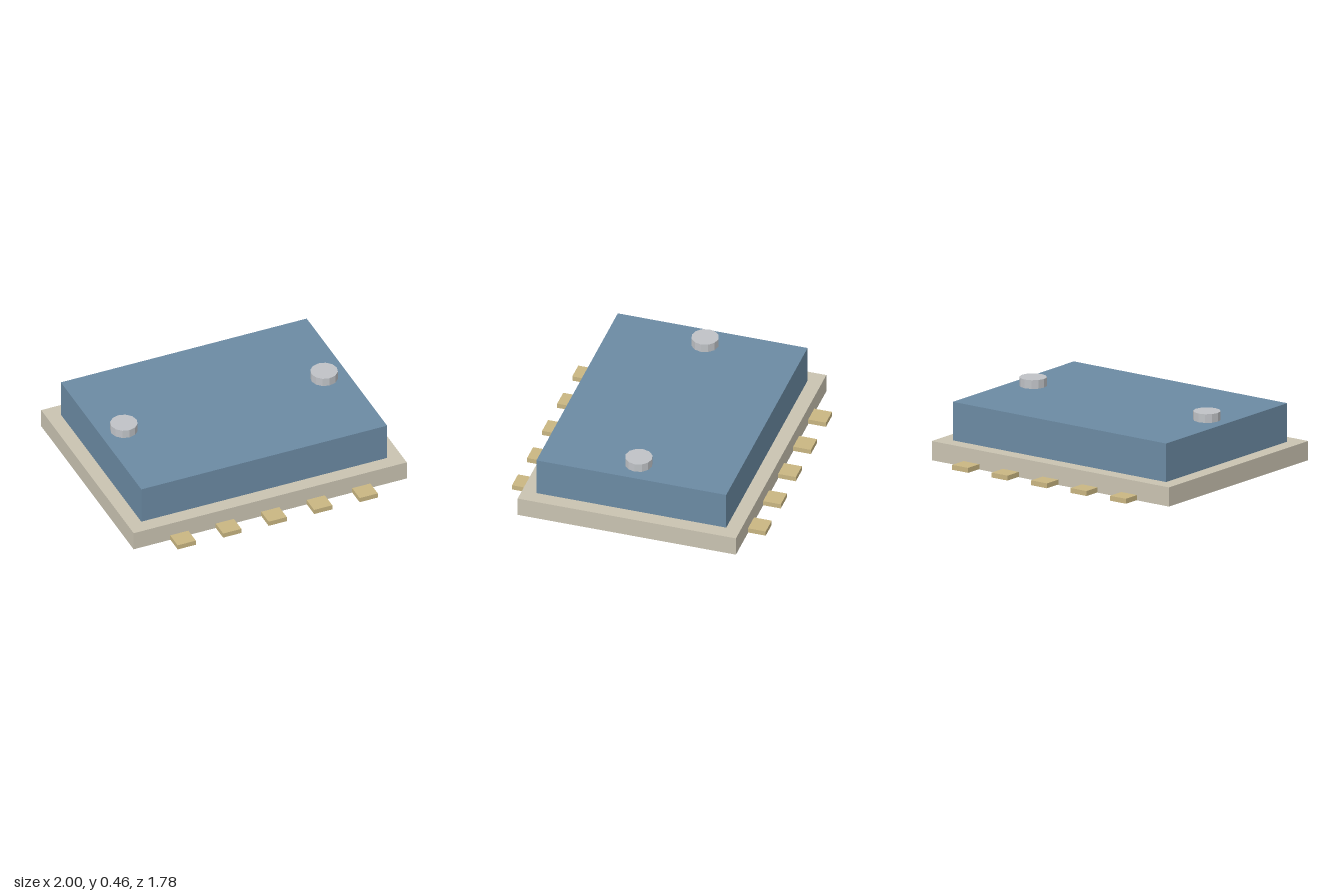
import * as THREE from 'three';

function material(name, color) {
  const m = new THREE.MeshStandardMaterial({ color });
  m.name = name;
  return m;
}

export function createModel() {
  const model = new THREE.Group();
  model.name = 'surfaceMountModule';

  const ceramic = material('beige ceramic', 0xc9c3b1);
  const blue = material('blue cover', 0x6b8aa3);
  const gold = material('gold', 0xc9b682);
  const silver = material('silver', 0xbfc2c6);
  silver.flatShading = true;

  const add = (name, geometry, mat, x, y, z) => {
    const mesh = new THREE.Mesh(geometry, mat);
    mesh.name = name;
    mesh.position.set(x, y, z);
    model.add(mesh);
  };

  // Base plate and raised cover
  add('basePlate', new THREE.BoxGeometry(2, 0.133, 1.534), ceramic, 0, 0.0665, 0);
  add('cover', new THREE.BoxGeometry(1.8, 0.267, 1.334), blue, 0, 0.2665, 0);

  // Five contact pads along the front and back edges
  const padGeometry = new THREE.BoxGeometry(0.133, 0.034, 0.133);
  for (const side of [1, -1]) {
    for (let i = -2; i <= 2; i++) {
      add(side > 0 ? 'frontPad' : 'backPad', padGeometry, gold, i * 0.333, 0.02, side * 0.825);
    }
  }

  // Round studs at both ends of the cover
  const studGeometry = new THREE.CylinderGeometry(0.093, 0.093, 0.06, 12);
  for (const side of [1, -1]) {
    add(side > 0 ? 'leftStud' : 'rightStud', studGeometry, silver, side * 0.733, 0.43, 0);
  }

  return model;
}
